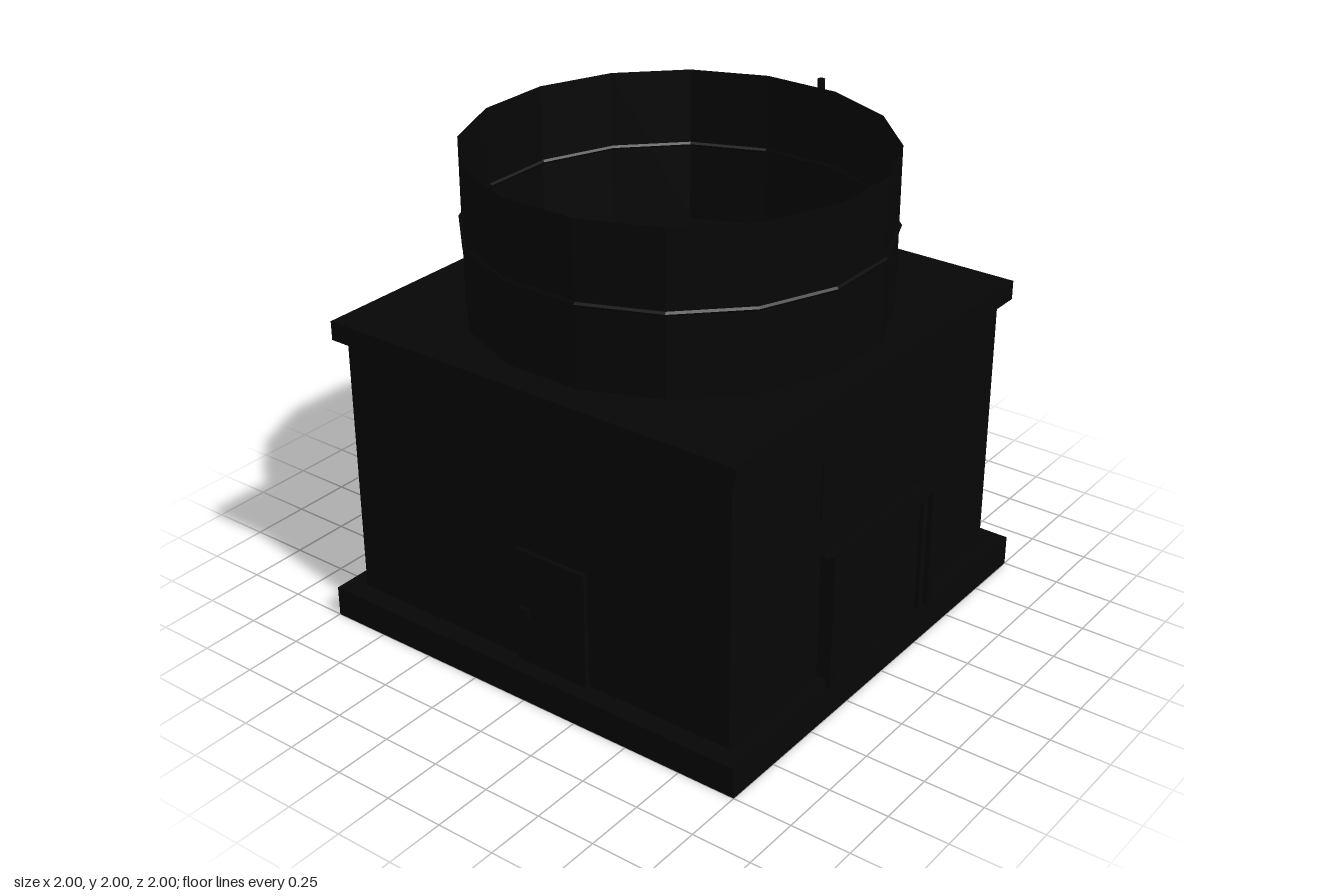
import * as THREE from 'three';

export function createModel() {
  const model = new THREE.Group();
  const black = new THREE.MeshStandardMaterial({ color: 0x060606, flatShading: true });
  black.name = 'black';
  const blackShell = new THREE.MeshStandardMaterial({ color: 0x060606, flatShading: true, side: THREE.DoubleSide });
  blackShell.name = 'black shell';

  const add = (name, geometry, material = black) => {
    const mesh = new THREE.Mesh(geometry, material);
    mesh.name = name;
    model.add(mesh);
    return mesh;
  };
  // Box given by its minimum and maximum corners
  const box = (name, x0, x1, y0, y1, z0, z1) =>
    add(name, new THREE.BoxGeometry(x1 - x0, y1 - y0, z1 - z0)
      .translate((x0 + x1) / 2, (y0 + y1) / 2, (z0 + z1) / 2));
  // Door surround, open at the bottom
  const surround = (name, outer, top, inner, innerTop, z0, z1) => {
    const y = 0.13;
    const shape = new THREE.Shape([
      [-outer, y], [-inner, y], [-inner, innerTop], [inner, innerTop],
      [inner, y], [outer, y], [outer, top], [-outer, top],
    ].map(([px, py]) => new THREE.Vector2(px, py)));
    add(name, new THREE.ExtrudeGeometry(shape, { depth: z1 - z0, bevelEnabled: false }).translate(0, 0, z0));
  };

  // Building
  box('base', -1, 1, 0, 0.13, -1, 1);
  box('walls', -0.915, 0.915, 0.13, 1.255, -0.915, 0.915);
  box('roofSlab', -0.957, 0.957, 1.255, 1.335, -0.957, 0.957);

  // Large front door
  surround('frontDoorFrame', 0.34, 0.67, 0.3, 0.63, 0.915, 0.98);
  surround('frontDoorTrim', 0.375, 0.71, 0.335, 0.665, 0.98, 1);
  box('frontDoor', -0.3, 0.3, 0.13, 0.63, 0.915, 0.965);
  box('frontPanel', -0.35, 0.35, 0.84, 1.08, 0.915, 0.92);

  // Side door with handle
  box('sideDoor', -0.935, -0.915, 0.13, 0.63, -0.08, 0.26);
  box('sideDoorHandle', -0.95, -0.935, 0.34, 0.38, -0.05, -0.01);

  // Utility box with its vertical pipe
  box('utilityBox', 0.915, 1, 0.13, 0.585, -0.165, 0.25);
  add('pipe', new THREE.CylinderGeometry(0.016, 0.016, 1.42, 8)).position.set(0.929, 1.29, 0.03);

  // Open sixteen-sided tower with a thin ring around it
  const sides = 16;
  add('tower', new THREE.CylinderGeometry(0.845, 0.845, 0.665, sides, 1, true)
    .rotateY(Math.PI / sides).translate(0, 1.6675, 0), blackShell);
  add('towerRing', new THREE.TorusGeometry(0.845, 0.011, 6, sides)
    .rotateX(Math.PI / 2).rotateY(Math.PI / sides).translate(0, 1.675, 0));

  return model;
}
